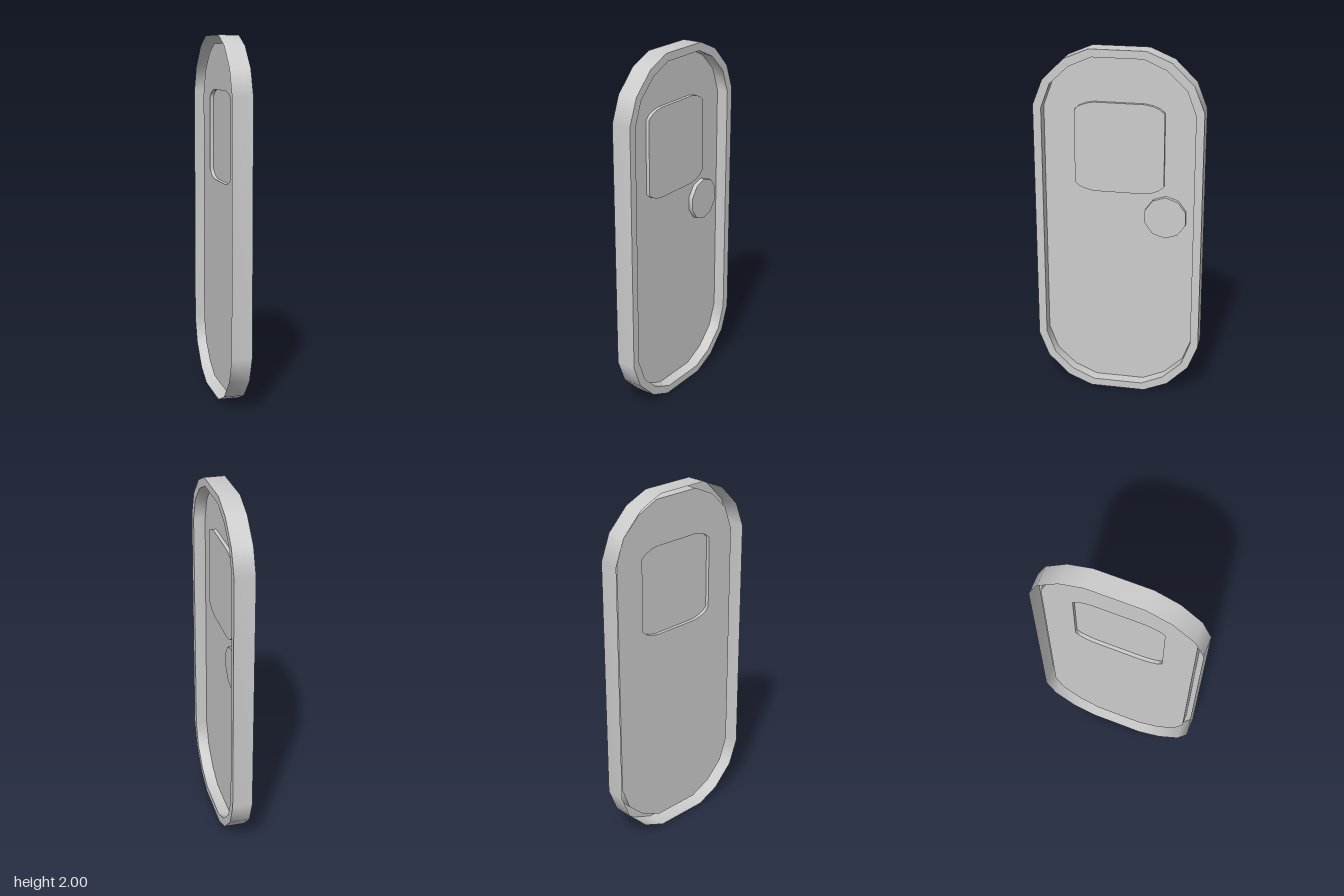
import * as THREE from 'three';

const material = new THREE.MeshStandardMaterial({ color: 0xcccccc, side: THREE.DoubleSide });

// Depths along x
const BACK = -0.056, FRONT = 0.056, SHEET = -0.01, PANE = 0.01, KNOB = 0.016;

// Mirrors a quarter outline (right side up to the top) into a full counter-clockwise loop
function loop(quarter, centreY) {
  const rev = [...quarter].reverse();
  return [
    ...quarter,
    ...rev.map(([u, v]) => [-u, v]),
    ...quarter.map(([u, v]) => [-u, -v]),
    ...rev.map(([u, v]) => [u, -v]),
  ].map(([u, v]) => new THREE.Vector2(u, v + centreY));
}

// Flat sheet facing +x
function face(name, outline, x, holes = []) {
  const shape = new THREE.Shape(outline);
  shape.holes = holes.map((h) => new THREE.Path(h));
  const geometry = new THREE.ShapeGeometry(shape).rotateY(Math.PI / 2).translate(x, 0, 0);
  const mesh = new THREE.Mesh(geometry, material);
  mesh.name = name;
  return mesh;
}

// Smooth band along an outline; x0 < x1 faces outward, x0 > x1 faces inward
function wall(name, outline, x0, x1) {
  const positions = [], index = [], n = outline.length;
  outline.forEach((p, i) => {
    positions.push(x0, p.y, -p.x, x1, p.y, -p.x);
    const a = 2 * i, b = 2 * ((i + 1) % n);
    index.push(a, b, b + 1, a, b + 1, a + 1);
  });
  const geometry = new THREE.BufferGeometry();
  geometry.setAttribute('position', new THREE.Float32BufferAttribute(positions, 3));
  geometry.setIndex(index);
  geometry.computeVertexNormals();
  const mesh = new THREE.Mesh(geometry, material);
  mesh.name = name;
  return mesh;
}

function part(name, ...meshes) {
  const group = new THREE.Group();
  group.name = name;
  group.add(...meshes);
  return group;
}

export function createModel() {
  const outer = loop([[0.465, 0.685], [0.41, 0.825], [0.29, 0.943], [0.155, 1]], 1);
  const inner = loop([[0.42, 0.67], [0.37, 0.803], [0.265, 0.902], [0.14, 0.957]], 1);
  const pane = loop([[0.248, 0.205], [0.222, 0.228], [0.185, 0.243], [0.14, 0.252]], 1.452);

  // Ten-sided knob with a corner at the top
  const knob = Array.from({ length: 10 }, (_, i) => {
    const a = Math.PI / 2 + (i * Math.PI) / 5;
    return new THREE.Vector2(0.258 + 0.119 * Math.cos(a), 1.07 + 0.119 * Math.sin(a));
  });

  const model = new THREE.Group();
  model.name = 'hatchDoor';
  model.add(
    // Frame, open at the back
    part('frame',
      wall('frameOuterWall', outer, BACK, FRONT),
      face('frameRim', outer, FRONT, [inner]),
      wall('frameInnerWall', inner, FRONT, SHEET)),
    // Recessed door sheet
    face('doorPanel', inner, SHEET, [pane]),
    // Window pressed out to the front, hollow behind
    part('window',
      wall('windowEdge', pane, SHEET, PANE),
      face('windowPane', pane, PANE)),
    // Round handle plate
    part('handle',
      wall('handleEdge', knob, SHEET, KNOB),
      face('handleFace', knob, KNOB)),
  );
  return model;
}
